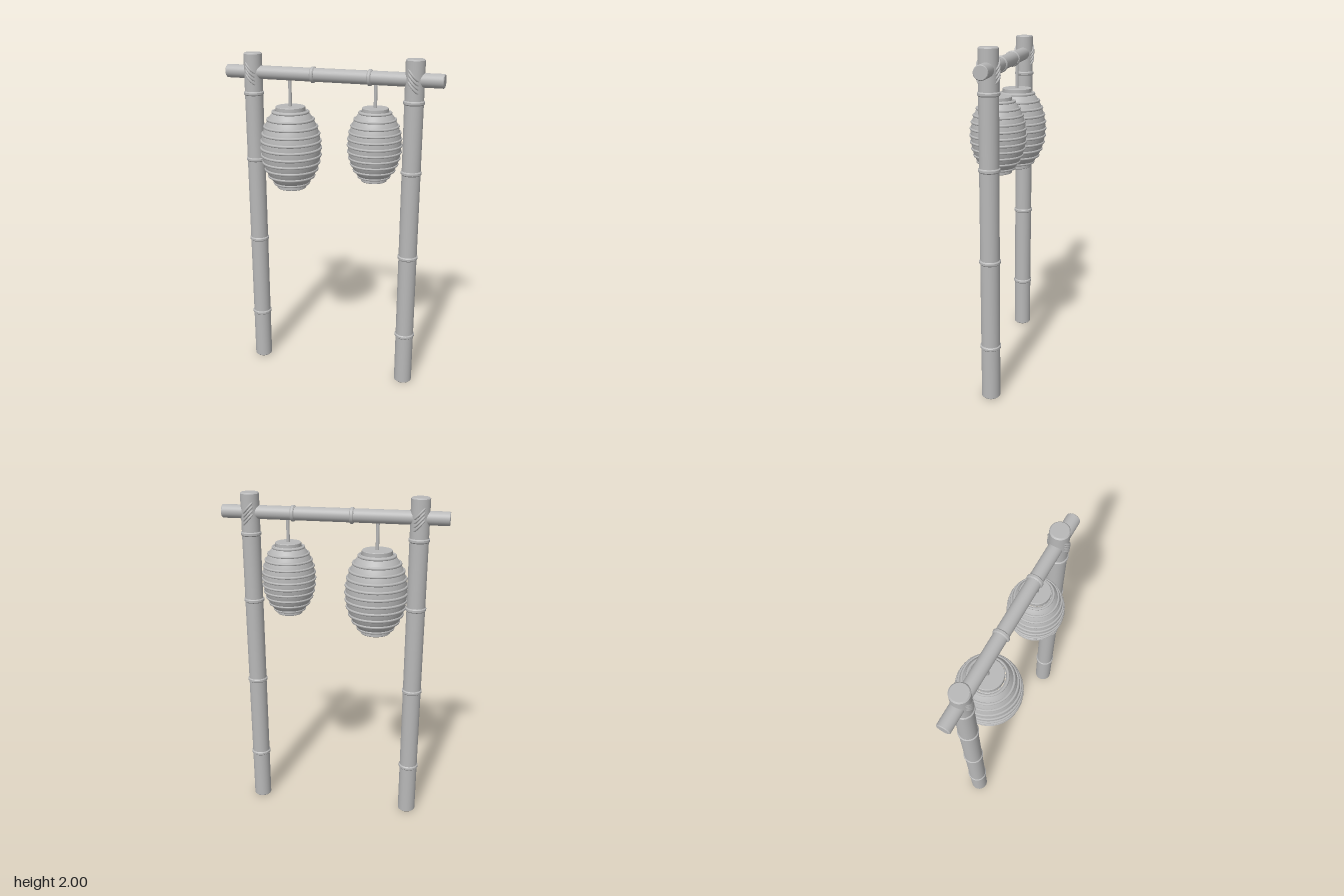
import * as THREE from 'three';

const grey = new THREE.MeshStandardMaterial({ color: 0xb8b8b8 });
grey.name = 'plain grey';

function add(parent, name, geometry, x = 0, y = 0, z = 0) {
  const mesh = new THREE.Mesh(geometry, grey);
  mesh.name = name;
  mesh.position.set(x, y, z);
  parent.add(mesh);
  return mesh;
}

// Capped rod along y, centred, with a small chamfer; each edge is doubled to stay crisp
function rod(radius, length, chamfer, sides = 32) {
  const h = length / 2, c = chamfer;
  const rings = [[0, -h], [radius - c, -h], [radius - c, -h + 1e-5], [radius, -h + c],
    [radius, -h + c + 1e-5], [radius, h - c - 1e-5], [radius, h - c],
    [radius - c, h - 1e-5], [radius - c, h], [0, h]];
  return new THREE.LatheGeometry(rings.map(([r, y]) => new THREE.Vector2(r, y)), sides);
}

// Ring lying flat, its axis along y
function ring(radius, tube) {
  return new THREE.TorusGeometry(radius, tube, 8, 40).rotateX(Math.PI / 2);
}

// Upright pole with raised joints and a slanted rope lashing
function buildPost(name, x) {
  const post = new THREE.Group();
  post.name = name;
  post.position.x = x;
  add(post, 'pole', rod(0.054, 2, 0.007), 0, 1);
  for (const y of [0.325, 0.845, 1.365, 1.765]) add(post, 'poleJoint', rod(0.06, 0.024, 0.006), 0, y);
  for (let i = 0; i < 4; i++) {
    const rope = add(post, 'lashing', ring(0.057, 0.0065), 0, 1.85 + i * 0.022);
    rope.rotation.z = -0.85;
  }
  return post;
}

// Horizontal pole with two raised joints
function buildBeam() {
  const beam = new THREE.Group();
  beam.name = 'crossbeam';
  beam.position.y = 1.888;
  add(beam, 'beamPole', rod(0.039, 1.3, 0.004).rotateZ(Math.PI / 2));
  for (const x of [-0.107, 0.232]) add(beam, 'beamJoint', rod(0.0465, 0.024, 0.006).rotateZ(Math.PI / 2), x);
  return beam;
}

// Ribbed paper lantern on a cord; s is its size
function buildLantern(name, x, y, s) {
  const lantern = new THREE.Group();
  lantern.name = name;
  lantern.position.set(x, y, 0);
  const radiusAt = (h) => 0.178 * Math.sqrt(1 - (h / 0.265) ** 2);
  const profile = [];
  for (let i = 0; i <= 32; i++) {
    const h = -0.225 + (i / 32) * 0.45;
    profile.push(new THREE.Vector2(radiusAt(h) * s, h * s));
  }
  add(lantern, 'lanternBody', new THREE.LatheGeometry(profile, 48));
  for (let i = 0; i < 11; i++) {
    const h = (i - 5) * 0.043;
    add(lantern, 'lanternRib', ring(radiusAt(h) * s, 0.0085 * s), 0, h * s);
  }
  for (const side of [-1, 1]) {
    add(lantern, 'lanternCap', rod(0.088 * s, 0.034 * s, 0.003), 0, side * 0.231 * s);
  }
  const bottom = 0.24 * s, top = 1.87 - y;
  add(lantern, 'cord', new THREE.CylinderGeometry(0.01, 0.01, top - bottom, 12), 0, (top + bottom) / 2);
  return lantern;
}

export function createModel() {
  const model = new THREE.Group();
  model.name = 'lanternGate';
  model.add(
    buildPost('rightPost', -0.485),
    buildPost('leftPost', 0.485),
    buildBeam(),
    buildLantern('largeLantern', -0.253, 1.452, 1),
    buildLantern('smallLantern', 0.265, 1.51, 0.86),
  );
  return model;
}
